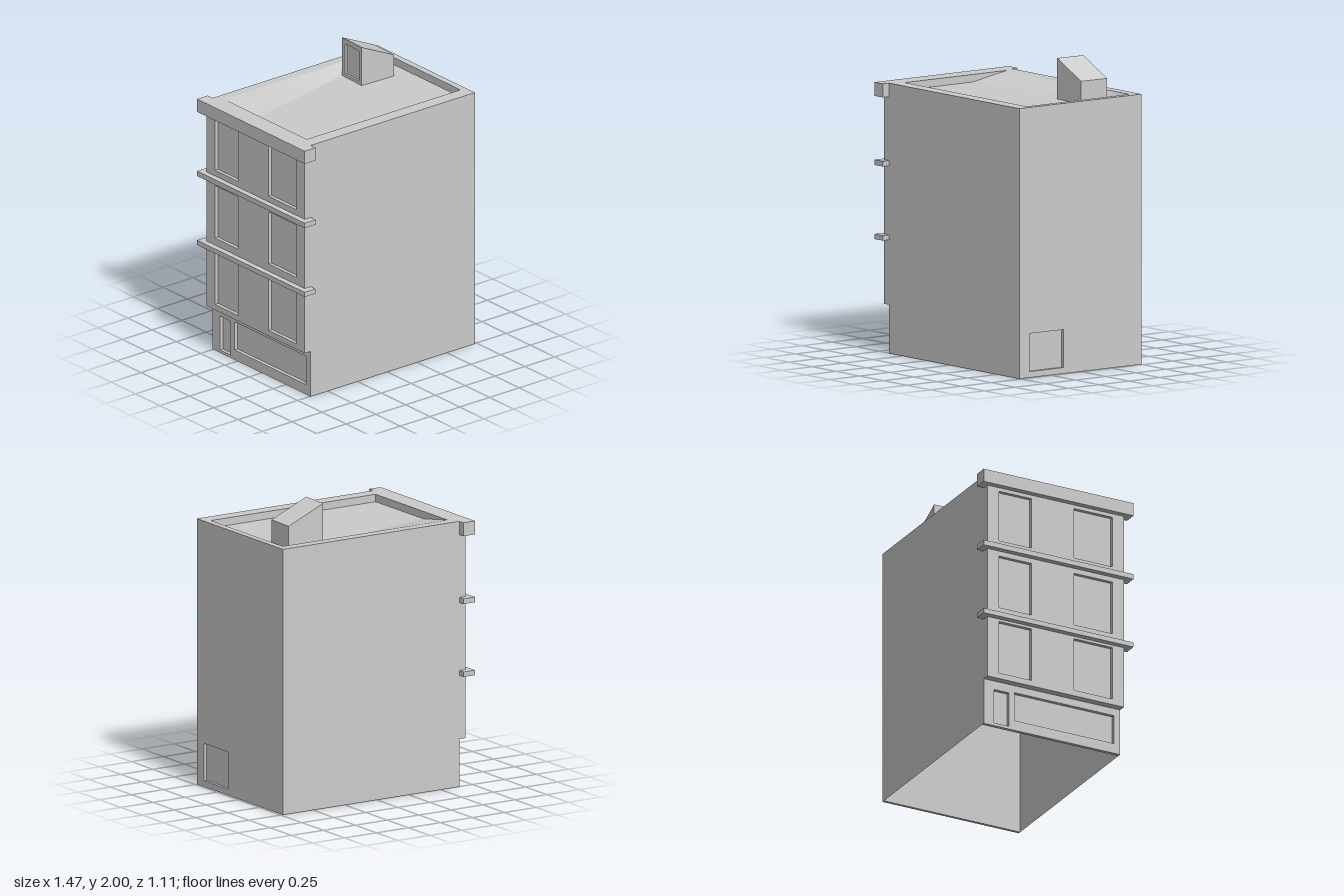
import * as THREE from 'three';

const material = new THREE.MeshStandardMaterial({ color: 0xcccccc, side: THREE.DoubleSide });
const TOP = 1.78, FLOOR = 1.73, HALF = 0.505, BACK = 0.735, FRONT = -0.695, SHOP = -0.645, STEP = 0.32;
const PIT = { x0: -0.6, x1: 0.69, z0: -0.435, z1: 0.41, valley: -0.15 };

function add(parent, name, geometry, x = 0, y = 0, z = 0) {
  const mesh = new THREE.Mesh(geometry, material);
  mesh.name = name;
  mesh.position.set(x, y, z);
  parent.add(mesh);
  return mesh;
}

function polygon(points) {
  return new THREE.Shape(points.map(([x, y]) => new THREE.Vector2(x, y)));
}

function rect(x0, x1, y0, y1) {
  return polygon([[x0, y0], [x1, y0], [x1, y1], [x0, y1]]);
}

// Wall with recessed openings; outer face at local z = 0. Each opening is [x0, x1, y0, y1].
function recessedWall(name, [x0, x1, y0, y1], openings, depth) {
  const group = new THREE.Group();
  group.name = name;
  const shape = rect(x0, x1, y0, y1);
  shape.holes = openings.map((o) => rect(...o));
  add(group, name + 'Surface', new THREE.ExtrudeGeometry(shape, { depth, bevelEnabled: false }), 0, 0, -depth);
  for (const o of openings) add(group, name + 'Pane', new THREE.ShapeGeometry(rect(...o)), 0, 0, -depth);
  return group;
}

// Twisted slope between the rear parapet edge and the valley line
function roofSlope() {
  const n = 12, positions = [], index = [];
  for (let i = 0; i <= n; i++) {
    const t = i / n, x = PIT.x0 + (PIT.x1 - PIT.x0) * t;
    positions.push(x, TOP, PIT.z0, x, FLOOR, PIT.valley + (PIT.z0 - PIT.valley) * t);
    if (i < n) {
      const a = i * 2;
      index.push(a, a + 1, a + 2, a + 1, a + 3, a + 2);
    }
  }
  const geometry = new THREE.BufferGeometry();
  geometry.setAttribute('position', new THREE.Float32BufferAttribute(positions, 3));
  geometry.setIndex(index);
  geometry.computeVertexNormals();
  return geometry;
}

// Horizontal face from [x, z] points
function flat(points, holes = []) {
  const flip = (list) => list.map(([x, z]) => [x, -z]);
  const shape = polygon(flip(points));
  shape.holes = holes.map((h) => polygon(flip(h)));
  return new THREE.ShapeGeometry(shape).rotateX(-Math.PI / 2);
}

export function createModel() {
  const model = new THREE.Group();
  model.name = 'townBuilding';

  // Long side walls, stepped in at the shop front; the shell is open below
  const side = polygon([[SHOP, 0], [BACK, 0], [BACK, TOP], [FRONT, TOP], [FRONT, STEP], [SHOP, STEP]]);
  for (const s of [-1, 1]) {
    const wall = add(model, s > 0 ? 'frontSideWall' : 'rearSideWall', new THREE.ShapeGeometry(side), 0, 0, s * HALF);
    if (s < 0) wall.geometry.scale(1, 1, -1);
  }

  // Upper street facade with two windows on each of three floors
  const windows = [];
  for (const [y0, y1] of [[0.36, 0.73], [0.83, 1.2], [1.31, 1.665]]) {
    windows.push([-0.42, -0.18, y0, y1], [0.135, 0.42, y0, y1]);
  }
  const upper = recessedWall('upperFacade', [-HALF, HALF, STEP, TOP], windows, 0.025);
  upper.rotation.y = -Math.PI / 2;
  upper.position.x = FRONT;
  model.add(upper);

  // Shop front with door and display window
  const shop = recessedWall('shopFront', [-HALF, HALF, 0, STEP],
    [[-0.43, -0.32, 0.02, 0.26], [-0.28, 0.46, 0.07, 0.27]], 0.025);
  shop.rotation.y = -Math.PI / 2;
  shop.position.x = SHOP;
  model.add(shop);
  add(model, 'overhangSoffit', flat([[FRONT, -HALF], [SHOP, -HALF], [SHOP, HALF], [FRONT, HALF]]), 0, STEP, 0);

  // Back wall with small recessed door
  const back = recessedWall('backWall', [-HALF, HALF, 0, TOP], [[-0.42, -0.14, 0.04, 0.29]], 0.02);
  back.rotation.y = Math.PI / 2;
  back.position.x = BACK;
  model.add(back);

  // Floor ledges and cornice
  for (const [name, y0, y1] of [['lowerLedge', 0.747, 0.78], ['upperLedge', 1.235, 1.27], ['cornice', 1.69, TOP]]) {
    add(model, name, new THREE.BoxGeometry(0.09, y1 - y0, 1.11), -0.69, (y0 + y1) / 2, 0);
  }

  // Parapet top and inner faces
  const { x0, x1, z0, z1, valley } = PIT;
  add(model, 'parapetTop', flat(
    [[SHOP, -HALF], [BACK, -HALF], [BACK, HALF], [SHOP, HALF]],
    [[[x0, z0], [x1, z0], [x1, z1], [x0, z1]]]), 0, TOP, 0);
  add(model, 'parapetInnerSide', new THREE.ShapeGeometry(rect(x0, x1, FLOOR, TOP)).rotateY(Math.PI), x0 + x1, 0, z1);
  add(model, 'parapetInnerBack', new THREE.ShapeGeometry(rect(z0, z1, FLOOR, TOP)).rotateY(-Math.PI / 2), x1, 0, 0);
  const inner = polygon([[-z1, FLOOR], [-valley, FLOOR], [-z0, TOP], [-z1, TOP]]);
  add(model, 'parapetInnerFront', new THREE.ShapeGeometry(inner).rotateY(Math.PI / 2), x0, 0, 0);

  // Roof deck
  add(model, 'roofDeck', flat([[x0, valley], [x1, z0], [x1, z1], [x0, z1]]), 0, FLOOR, 0);
  add(model, 'roofSlope', roofSlope());

  // Roof stair hut with sloping top and a door, turned slightly
  const hut = new THREE.Group();
  hut.name = 'roofHut';
  const profile = polygon([[-0.117, 0], [0.132, 0], [0.132, 0.15], [-0.117, 0.263], [-0.132, 0.27], [-0.132, 0.263], [-0.117, 0.256]]);
  add(hut, 'hutBody', new THREE.ExtrudeGeometry(profile, { depth: 0.21, bevelEnabled: false }), 0, 0, -0.105);
  const door = recessedWall('hutDoor', [-0.105, 0.105, 0, 0.263], [[-0.075, 0.075, 0.02, 0.235]], 0.015);
  door.rotation.y = -Math.PI / 2;
  door.position.x = -0.132;
  hut.add(door);
  hut.position.set(0.445, FLOOR, -0.24);
  hut.rotation.y = -0.035;
  model.add(hut);

  return model;
}
